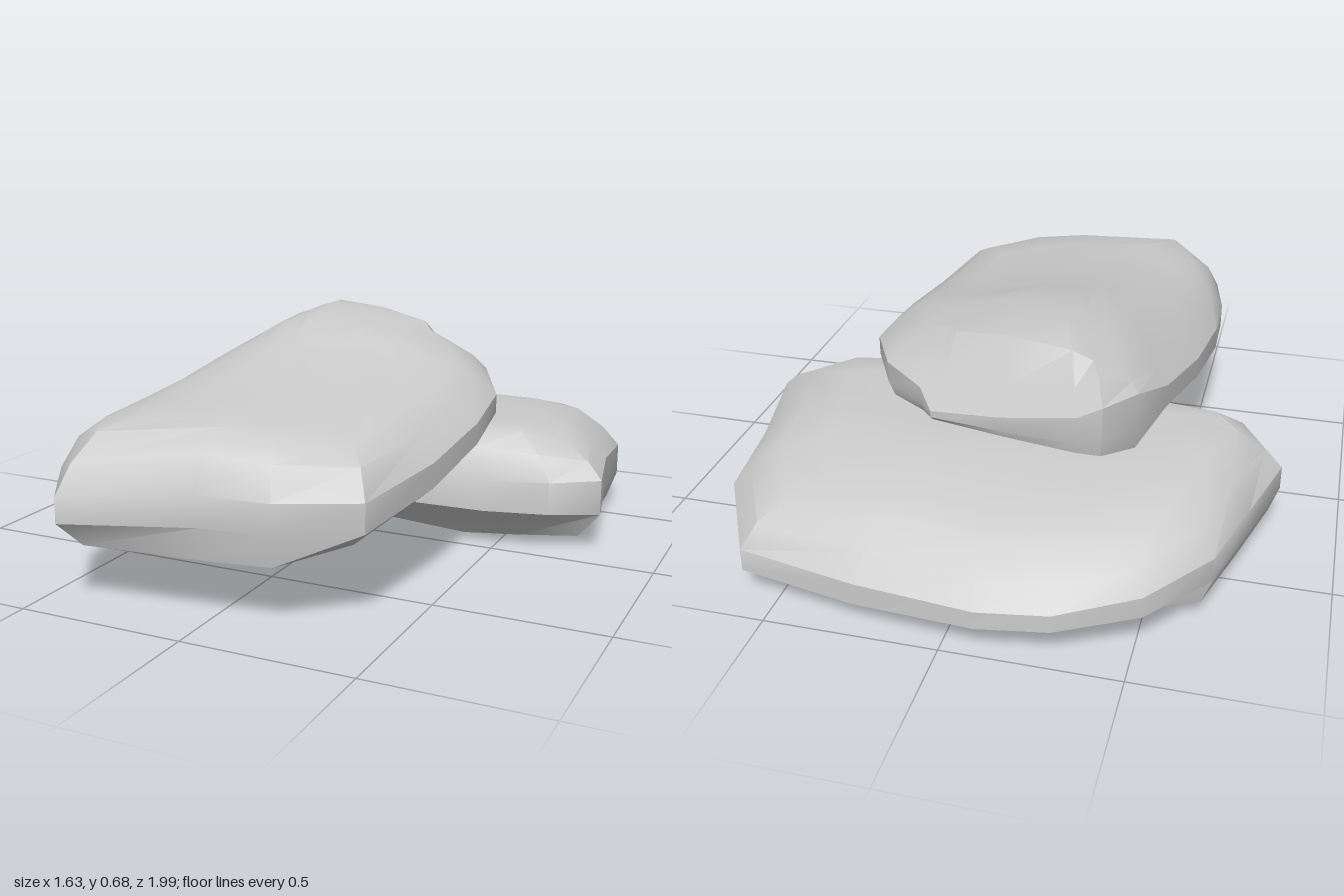
import * as THREE from 'three';
import { toCreasedNormals } from 'three/addons/utils/BufferGeometryUtils.js';

// Piecewise-linear profile through [position, height] pairs
function profile(pairs, t) {
  if (t <= pairs[0][0]) return pairs[0][1];
  for (let i = 1; i < pairs.length; i++) {
    const [a, u] = pairs[i - 1], [b, v] = pairs[i];
    if (t <= b) return u + (v - u) * (t - a) / (b - a);
  }
  return pairs[pairs.length - 1][1];
}

// Lofts a slab-shaped stone from a plan outline [x, z] (clockwise from above),
// with height fields for its underside and top, an inset for the underside,
// and a rounding amount for the upper edge (0 = sharp, 1 = soft).
function stone(name, { outline, centre, top, bottom, baseInset, rounding }) {
  const [cx, cz] = centre, n = outline.length;
  const inset = (d, s = 1) => ([x, z]) => {
    const dx = cx - x, dz = cz - z, len = Math.hypot(dx, dz);
    const k = 1 - (1 - d / len) * s;
    return [x + dx * k, z + dz * k];
  };
  const mix = (f) => ([x, z]) => bottom(x, z) + (top(x, z) - bottom(x, z)) * f;
  const upperEdge = (p) => mix(1 - 0.42 * rounding(...p))(p);
  const crown = (drop) => ([x, z]) =>
    Math.max(top(x, z) - drop * rounding(x, z), bottom(x, z) + 0.05);
  // Each ring: plan position rule and height rule, from underside to crown
  const rings = [
    [inset(0.18, 0.5), mix(0)],
    [(p) => inset(baseInset(...p))(p), mix(0)],
    [inset(0), mix(0.3)],
    [inset(0), upperEdge],
    [inset(0.055), crown(0.05)],
    [inset(0.14), crown(0.01)],
    [inset(0.15, 0.8), crown(0)],
    [inset(0.15, 0.6), crown(0)],
    [inset(0.15, 0.4), crown(0)],
    [inset(0.15, 0.2), crown(0)],
  ];
  const pos = [], index = [];
  for (const [place, height] of rings) {
    for (const p of outline) {
      const q = place(p);
      pos.push(q[0], height(q), q[1]);
    }
  }
  const low = rings.length * n, high = low + 1, last = (rings.length - 1) * n;
  pos.push(cx, bottom(cx, cz), cz, cx, top(cx, cz), cz);
  for (let i = 0; i < n; i++) {
    const j = (i + 1) % n;
    for (let r = 0; r < rings.length - 1; r++) {
      const a = r * n + i, b = r * n + j;
      index.push(b, a, a + n, b, a + n, b + n);
    }
    index.push(i, j, low, last + j, last + i, high);
  }
  const geo = new THREE.BufferGeometry();
  geo.setAttribute('position', new THREE.Float32BufferAttribute(pos, 3));
  geo.setIndex(index);
  const mesh = new THREE.Mesh(toCreasedNormals(geo, 0.6),
    new THREE.MeshStandardMaterial({ color: 0xcccccc }));
  mesh.name = name;
  return mesh;
}

export function createModel() {
  const group = new THREE.Group();
  group.name = 'stackedRocks';

  // Broad rock lying on the ground at the back
  group.add(stone('lowerRock', {
    outline: [
      [-0.82, -0.21], [-0.75, -0.46], [-0.68, -0.7], [-0.52, -0.88], [-0.3, -0.98], [-0.1, -1],
      [0.25, -0.96], [0.6, -0.9], [0.73, -0.66], [0.75, -0.4], [0.81, -0.1], [0.67, -0.02],
      [0.48, 0.03], [0.2, 0.05], [-0.2, 0.03], [-0.53, -0.06], [-0.74, -0.11],
    ],
    centre: [0, -0.46],
    top: (x, z) => profile([[-1, 0.23], [-0.85, 0.29], [-0.6, 0.35], [-0.5, 0.36], [-0.07, 0.375]], z)
      - profile([[-0.8, 0.04], [-0.66, 0], [0.55, 0], [0.75, 0.05]], x),
    bottom: (x, z) => profile([[-0.8, 0.06], [-0.2, 0.05], [0.1, 0.015], [0.4, 0], [0.8, 0.025]], x)
      + profile([[-0.5, 0], [0, 0.025]], z),
    baseInset: (x, z) => (x < -0.6 ? 0.03 : x < 0.7 ? 0.13 : z > -0.2 ? 0.08 : 0.03),
    rounding: (x) => profile([[0.6, 1], [0.75, 0.75]], x),
  }));

  // Long rock leaning on it, with a cut-away back end
  group.add(stone('upperRock', {
    outline: [
      [-0.38, 0.99], [-0.5, 0.8], [-0.54, 0.6], [-0.55, 0.35], [-0.53, 0], [-0.48, -0.3],
      [-0.43, -0.52], [-0.35, -0.61], [-0.28, -0.61], [-0.05, -0.56], [0.17, -0.5], [0.22, -0.44],
      [0.35, -0.35], [0.46, -0.13], [0.48, 0.1], [0.46, 0.4], [0.41, 0.75], [0.2, 0.87], [0, 0.9],
    ],
    centre: [-0.04, 0.15],
    top: (x, z) => {
      const ridge = profile([[-0.5, 0.68], [-0.42, 0.69], [-0.05, 0.66], [0, 0.635], [0.3, 0.575],
        [0.6, 0.535], [0.74, 0.535], [0.87, 0.52], [1, 0.47]], z);
      const fall = profile([[-0.5, 0.12], [-0.35, 0.055], [-0.2, 0], [0, 0.015], [0.3, 0.09],
        [0.48, 0.13]], x);
      const cut = 0.575 - 0.55 * (x + 0.35) + 1.35 * (z + 0.61);
      return Math.min(ridge - fall * profile([[-0.2, 1], [0.1, 0.7], [0.8, 0.4]], z), cut);
    },
    bottom: (x, z) => profile([[-0.6, 0.42], [-0.2, 0.36], [0, 0.315], [0.4, 0.23], [0.75, 0.185]], z),
    baseInset: (x, z) => (z < -0.4 ? 0.01 : Math.abs(x) > 0.4 ? 0.14 : x < -0.1 ? 0.08 : 0.02),
    rounding: (x, z) => profile([[-0.55, 0.05], [-0.25, 1]], z),
  }));

  return group;
}
